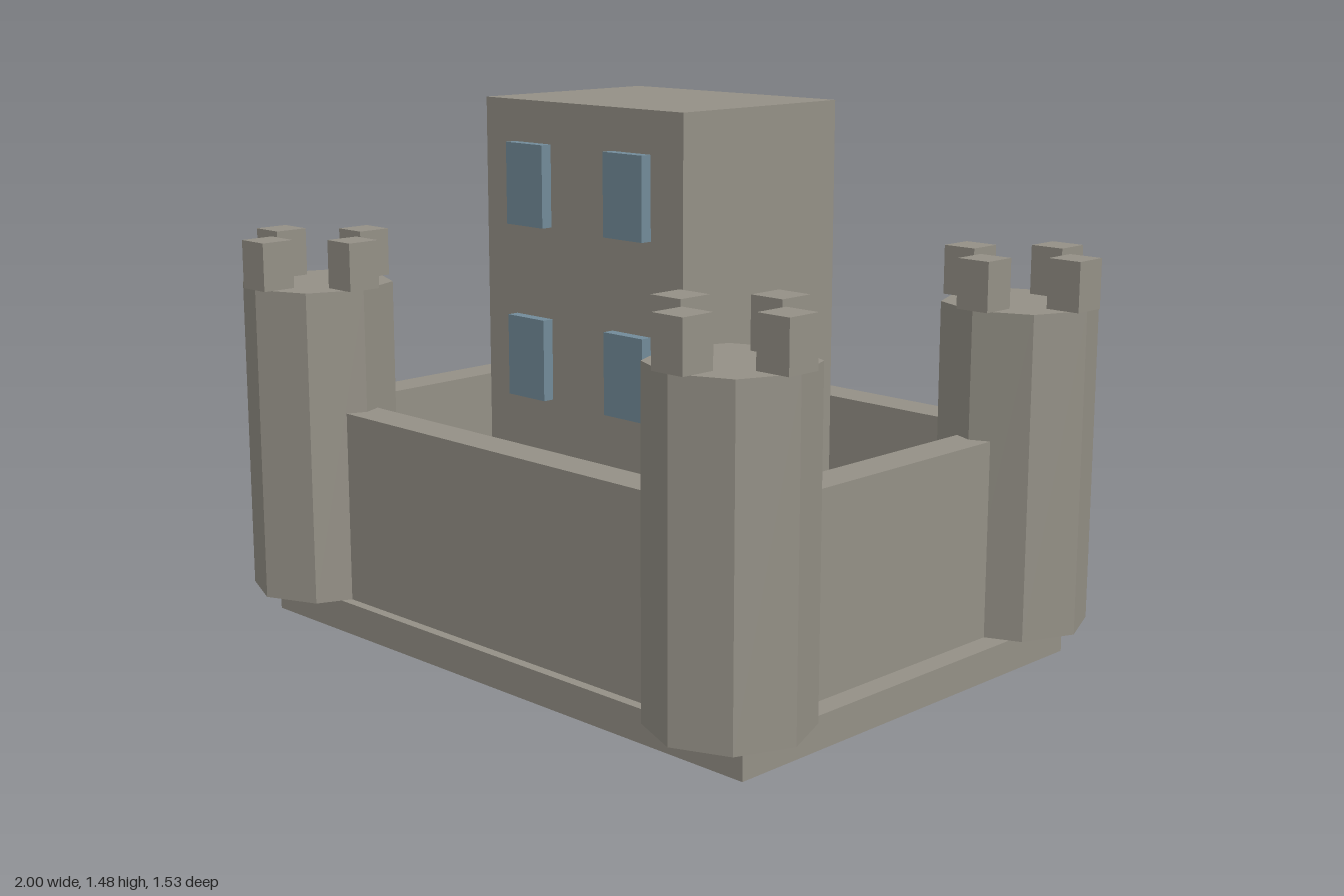
import * as THREE from 'three';

export function createModel() {
  const stone = new THREE.MeshStandardMaterial({ color: 0x949086 });
  stone.name = 'stone';
  const glass = new THREE.MeshStandardMaterial({ color: 0x728b99 });
  glass.name = 'blue glass';

  const castle = new THREE.Group();
  castle.name = 'castle';

  // Box standing on height y, centred on x and z
  function block(parent, name, material, w, h, d, x, y, z) {
    const mesh = new THREE.Mesh(new THREE.BoxGeometry(w, h, d), material);
    mesh.name = name;
    mesh.position.set(x, y + h / 2, z);
    parent.add(mesh);
    return mesh;
  }

  const floorY = 0.088, towerTop = 0.957;
  const towerX = 0.786, towerZ = 0.555;
  const wallHeight = 0.53, wallThickness = 0.106;

  // Base slab and central keep
  block(castle, 'base', stone, 1.804, floorY, 1.272, 0, 0, 0);
  block(castle, 'keep', stone, 0.736, 1.387, 0.572, 0, floorY, 0);

  // Curtain walls run between the tower centres
  for (const s of [1, -1]) {
    block(castle, s > 0 ? 'frontWall' : 'backWall', stone,
      2 * towerX, wallHeight, wallThickness, 0, floorY, s * towerZ);
    block(castle, s > 0 ? 'leftWall' : 'rightWall', stone,
      wallThickness, wallHeight, 2 * towerZ, s * towerX, floorY, 0);
  }

  // Windows stand proud of the front and back of the keep
  for (const sz of [1, -1]) {
    for (const sx of [1, -1]) {
      for (const y of [0.683, 1.146]) {
        block(castle, 'window', glass, 0.14, 0.218, 0.04, sx * 0.185, y, sz * 0.298);
      }
    }
  }

  // Octagonal corner towers, each with four merlons
  const towerHeight = towerTop - floorY;
  for (const sx of [1, -1]) {
    for (const sz of [1, -1]) {
      const tower = new THREE.Group();
      tower.name = (sz > 0 ? 'front' : 'back') + (sx > 0 ? 'Left' : 'Right') + 'Tower';
      tower.position.set(sx * towerX, 0, sz * towerZ);

      const shaftGeometry = new THREE.CylinderGeometry(0.208, 0.208, towerHeight, 8).toNonIndexed();
      shaftGeometry.computeVertexNormals();
      const shaft = new THREE.Mesh(shaftGeometry, stone);
      shaft.name = 'towerShaft';
      shaft.position.y = floorY + towerHeight / 2;
      tower.add(shaft);

      for (const [dx, dz] of [[1, 0], [-1, 0], [0, 1], [0, -1]]) {
        block(tower, 'merlon', stone, 0.097, 0.132, 0.097, dx * 0.1655, towerTop, dz * 0.1625);
      }
      castle.add(tower);
    }
  }

  return castle;
}
